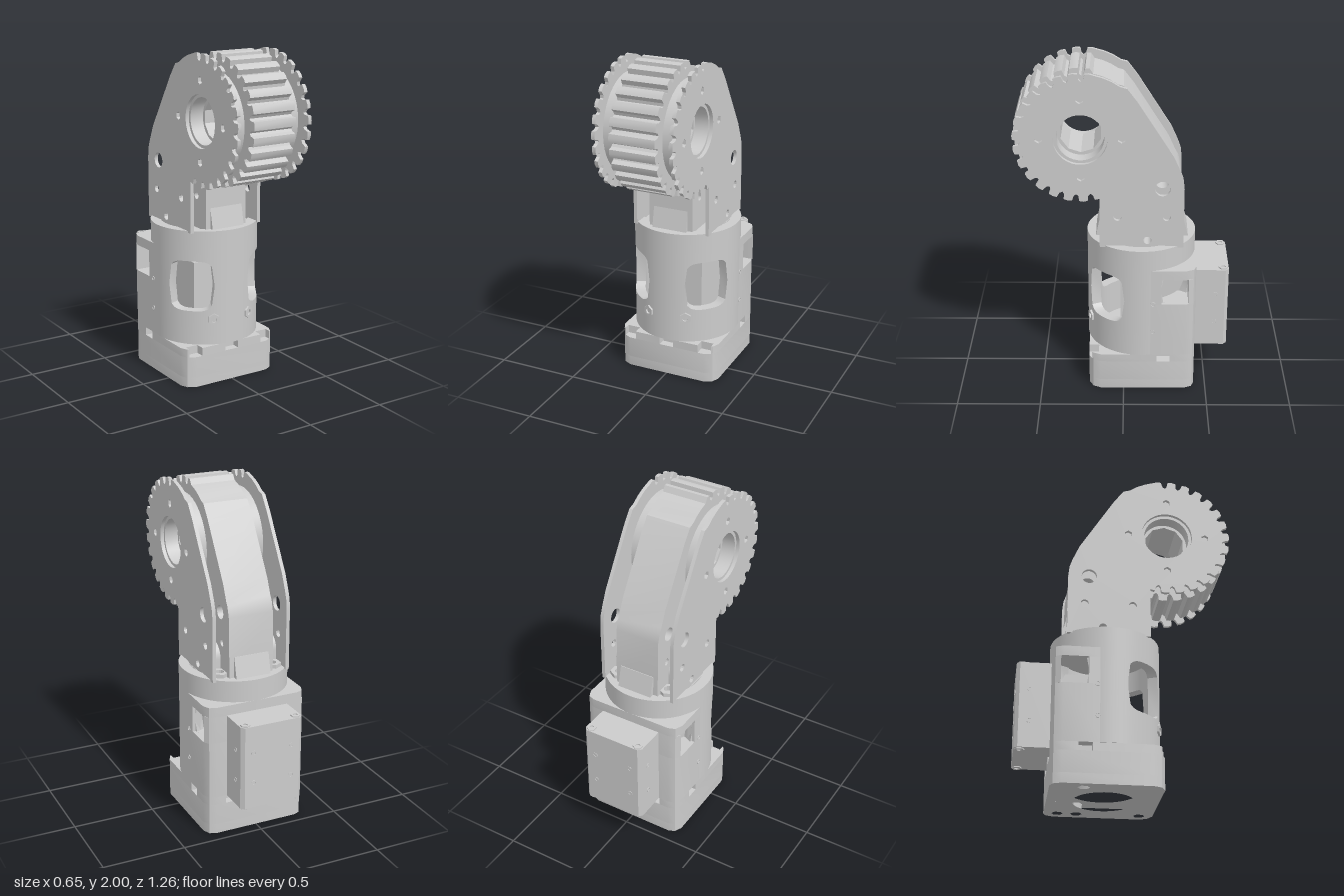
import * as THREE from 'three';
import { toCreasedNormals } from 'three/addons/utils/BufferGeometryUtils.js';

const grey = new THREE.MeshStandardMaterial({ color: 0xcccccc });
const AXIS_Z = -0.105;              // vertical axis of the round housing
const GEAR = { z: 0.245, y: 1.615 }; // centre of the toothed head
const rad = THREE.MathUtils.degToRad;

export function createModel() {
  const model = new THREE.Group();

  function add(parent, name, geometry, x = 0, y = 0, z = 0) {
    const mesh = new THREE.Mesh(geometry, grey);
    mesh.name = name;
    mesh.position.set(x, y, z);
    parent.add(mesh);
    return mesh;
  }
  function group(name) {
    const g = new THREE.Group();
    g.name = name;
    model.add(g);
    return g;
  }

  const ring = (u, v, r, n = 24) => Array.from({ length: n }, (_, i) => {
    const a = ((i + 0.5) / n) * Math.PI * 2;
    return [u + r * Math.cos(a), v + r * Math.sin(a)];
  });
  function extrude(points, holes, depth) {
    const path = (pts, Type) => new Type(pts.map(([u, v]) => new THREE.Vector2(u, v)));
    const shape = path(points, THREE.Shape);
    shape.holes = holes.map((h) => path(h, THREE.Path));
    return toCreasedNormals(new THREE.ExtrudeGeometry(shape, { depth, bevelEnabled: false }), 0.5);
  }
  // Plan outline in (x, z), raised from y0 to y1
  const plan = (points, y0, y1, holes = []) => {
    const flip = (pts) => pts.map(([x, z]) => [x, -z]);
    return extrude(flip(points), holes.map(flip), y1 - y0).rotateX(-Math.PI / 2).translate(0, y0, 0);
  };
  // Side outline in (z, y), spanning x0 to x1
  const side = (points, x0, x1, holes = []) =>
    extrude(points, holes, x1 - x0).rotateY(-Math.PI / 2).translate(x1, 0, 0);

  // ---- Square base: bored plate, with open nut slots along the upper edge
  const base = group('base');
  const right = [[0.26, -0.43], [0.3, -0.415], [0.32, -0.37]];
  const frontRight = [[0.32, 0.14], [0.3, 0.185], [0.25, 0.21]];
  const mirror = (pts) => pts.map(([x, z]) => [-x, z]).reverse();
  const closed = (half) => [...half, ...mirror(half)];
  const boltHoles = [[-0.25, 0.13], [0.25, 0.13], [-0.25, -0.35], [0.25, -0.35],
    [0, 0.14], [0, -0.36], [0.25, -0.24], [-0.25, -0.24]].map(([x, z]) => ring(x, z, 0.034, 6));
  add(base, 'basePlate', plan(closed([...right, ...frontRight]), 0, 0.06, [ring(0, AXIS_Z, 0.18, 40), ...boltHoles]));
  add(base, 'baseBody', plan(closed([...right, ...frontRight]), 0.06, 0.19, [ring(0, AXIS_Z, 0.205, 40)]));
  const slotted = [[0.04, -0.43], [0.04, -0.38], [0.2, -0.38], [0.2, -0.43], ...right,
    [0.32, -0.28], [0.26, -0.28], [0.26, -0.2], [0.32, -0.2], [0.32, 0.14], [0.3, 0.185],
    [0.29, 0.19], [0.29, 0.15], [0.21, 0.15], [0.21, 0.21], [0.045, 0.21], [0.045, 0.16]];
  add(base, 'baseSlottedRim', plan(closed(slotted), 0.19, 0.24, [ring(0, AXIS_Z, 0.205, 40)]));
  add(base, 'baseFloor', new THREE.CylinderGeometry(0.26, 0.26, 0.02, 48), 0, 0.235, AXIS_Z);

  // ---- Round housing: a wall of narrow strips that part around each window
  const windows = [
    { a: 46.5, half: 25.5, y: 0.605, h: 0.155, e: 4 },
    { a: 130.5, half: 19.5, y: 0.6725, h: 0.0825, e: 12 },
  ];
  function opening(deg) {
    for (const w of windows) {
      const t = Math.abs(Math.abs(deg) - w.a) / w.half;
      if (t <= 1) return [w, w.h * Math.pow(1 - Math.pow(t, w.e), 1 / w.e)];
    }
    return [null, 0];
  }
  function housingWall(rIn, rOut, y0, y1, step) {
    const pos = [];
    const at = (deg, r, y) => [r * Math.sin(rad(deg)), y, AXIS_Z + r * Math.cos(rad(deg))];
    const quad = (a, b, c, d) => pos.push(...a, ...b, ...c, ...a, ...c, ...d);
    const block = (d0, d1, low0, low1, high0, high1) => {
      const [a, b, c, d] = [at(d0, rOut, low0), at(d1, rOut, low1), at(d1, rOut, high1), at(d0, rOut, high0)];
      const [e, f, g, h] = [at(d0, rIn, low0), at(d1, rIn, low1), at(d1, rIn, high1), at(d0, rIn, high0)];
      quad(a, b, c, d);
      quad(f, e, h, g);
      quad(d, c, g, h);
      quad(e, f, b, a);
    };
    for (let d = -180; d < 180; d += step) {
      const [w] = opening(d + step / 2);
      if (!w) { block(d, d + step, y0, y0, y1, y1); continue; }
      const h0 = opening(d)[1], h1 = opening(d + step)[1];
      block(d, d + step, y0, y0, w.y - h0, w.y - h1);
      block(d, d + step, w.y + h0, w.y + h1, y1, y1);
    }
    const geo = new THREE.BufferGeometry();
    geo.setAttribute('position', new THREE.Float32BufferAttribute(pos, 3));
    return toCreasedNormals(geo, 0.5);
  }
  const housing = group('housing');
  add(housing, 'housingWall', housingWall(0.265, 0.325, 0.24, 0.945, 3));
  add(housing, 'innerMotor', new THREE.BoxGeometry(0.3, 0.47, 0.42), 0, 0.475, -0.19);
  add(housing, 'innerShaft', new THREE.CylinderGeometry(0.05, 0.05, 0.25, 20), 0, 0.8, AXIS_Z);

  // Square rear corners of the housing, with a cable opening through each side
  const arc = Array.from({ length: 13 }, (_, i) => {
    const a = rad(180 - i * 6.5);
    return [0.3 * Math.sin(a), AXIS_Z + 0.3 * Math.cos(a)];
  });
  const corner = [[0.32, -0.15], ...right.slice().reverse(), [0, -0.43], ...arc];
  for (const s of [1, -1]) {
    const m = (pts) => pts.map(([x, z]) => [s * x, z]);
    add(housing, 'rearCornerLower', plan(m(corner), 0.24, 0.59));
    add(housing, 'rearCornerUpper', plan(m(corner), 0.755, 0.815));
    add(housing, 'openingRearPost', plan(m([[0.32, -0.385], [0.3, -0.415], [0.26, -0.43], [0, -0.43], [0, -0.405], [0.1, -0.385]]), 0.59, 0.755));
    add(housing, 'openingFrontPost', plan(m([[0.32, -0.15], [0.32, -0.225], [0.27, -0.225], [0.29, -0.15]]), 0.59, 0.755));
  }

  // ---- Rear box with chamfered corners
  const rear = group('rearBox');
  add(rear, 'rearBoxBody', plan(closed([[0.175, -0.63], [0.195, -0.61], [0.195, -0.42]]), 0.24, 0.755));

  // Raised collars and hex nuts; direction is 'x', 'y' or 'z'
  function fastener(parent, name, dir, r, hole, n, depth, x, y, z) {
    const g = extrude(ring(0, 0, r, n), [ring(0, 0, hole, 12)], depth).translate(0, 0, -depth / 2);
    if (dir === 'x') g.rotateY(Math.PI / 2);
    if (dir === 'y') g.rotateX(-Math.PI / 2);
    return add(parent, name, g, x, y, z);
  }
  for (const s of [1, -1]) {
    fastener(rear, 'boxTopNut', 'y', 0.03, 0.014, 6, 0.012, s * 0.16, 0.756, -0.598);
    fastener(rear, 'boxBottomNut', 'y', 0.03, 0.014, 6, 0.012, s * 0.16, 0.239, -0.598);
    const nut = fastener(housing, 'frontNut', 'z', 0.036, 0.018, 6, 0.03, s * 0.12, 0.4, 0.193);
    nut.rotation.y = s * 0.38;
    for (const y of [0.4, 0.59]) {
      fastener(rear, 'boxSideHole', 'x', 0.015, 0.011, 12, 0.006, s * 0.195, y, -0.55);
      fastener(rear, 'boxBackHole', 'z', 0.015, 0.011, 12, 0.006, s * 0.12, y, -0.63);
      fastener(housing, 'housingSideHole', 'x', 0.015, 0.011, 12, 0.008, s * 0.32, y, -0.175);
    }
  }

  // ---- Turntable with a notch on each side
  const turntable = group('turntable');
  const rim = [];
  for (let d = 180; d >= 0; d -= 6) {
    const x = 0.305 * Math.sin(rad(d)), z = 0.305 * Math.cos(rad(d));
    if (Math.abs(z) > 0.105) rim.push([x, AXIS_Z + z]);
    else if (d === 90) rim.push([0.285, -0.205], [0.25, -0.205], [0.25, 0], [0.285, 0]);
  }
  add(turntable, 'turntableDisc', plan(closed(rim.slice(1, -1)), 0.89, 0.935));
  for (const s of [1, -1]) {
    fastener(turntable, 'turntableNut', 'y', 0.055, 0.026, 6, 0.035, s * 0.17, 0.95, -0.28);
  }

  // ---- Arm: outline with teeth around the front of the head
  function armOutline(inset) {
    const teeth = 15, from = -102, pitch = 204 / teeth, pts = [[0.14, 0.935], [0.14, 1.247]];
    const polar = (deg, r) => pts.push([GEAR.z + r * Math.cos(rad(deg)), GEAR.y + r * Math.sin(rad(deg))]);
    for (let i = 0; i < teeth; i++) {
      const d = from + i * pitch;
      polar(d, 0.383);
      polar(d + pitch * 0.06, 0.352);
      polar(d + pitch * 0.22, 0.34);
      polar(d + pitch * 0.38, 0.352);
      polar(d + pitch * 0.46, 0.383);
      polar(d + pitch * 0.72, 0.387);
    }
    for (const d of [102, 110, 118, 126]) polar(d, 0.384 - inset);
    const k = inset * 0.8;
    pts.push([-0.02 + k, 1.915 - k], [-0.08 + k, 1.835 - k], [-0.285 + k, 1.51 - k], [-0.325 + k, 1.42 - k],
      [-0.343 + k, 1.37], [-0.35 + k * 0.5, 1.31], [-0.35, 0.935]);
    return pts;
  }
  const linkHoles = (r) => [ring(-0.225, 1.31, r * 1.9), ring(0.035, 1.13, r, 12),
    ring(-0.25, 1.13, r, 12), ring(-0.14, 0.98, r, 12)];
  const headHoles = [[0.235, 0], [-0.235, 0], [0, 0.235], [0, -0.235]]
    .map(([z, y]) => ring(GEAR.z + z, GEAR.y + y, 0.024, 6));
  const arm = group('arm');
  add(arm, 'armCore', side(armOutline(0.025), -0.14, 0.14, [ring(GEAR.z, GEAR.y, 0.122, 10), ...linkHoles(0.022)]));
  add(arm, 'armFoot', side([[0.168, 0.935], [0.14, 1.07], [-0.35, 1.07], [-0.385, 0.935]], -0.11, 0.11,
    [ring(-0.14, 0.98, 0.022, 12)]));
  const dome = Array.from({ length: 17 }, (_, i) => [-0.14 + 0.09 * Math.cos(i * Math.PI / 16), 1.02 + 0.09 * Math.sin(i * Math.PI / 16)]);
  for (const s of [1, -1]) {
    const span = (a, b) => (s > 0 ? [a, b] : [-b, -a]);
    add(arm, 'sidePlate', side(armOutline(0), ...span(0.224, 0.246),
      [ring(GEAR.z, GEAR.y, 0.155, 32), ...linkHoles(0.024), ...headHoles]));
    add(arm, 'headSpacer', side(ring(GEAR.z, GEAR.y, 0.29, 48), ...span(0.14, 0.224), [ring(GEAR.z, GEAR.y, 0.137, 32)]));
    add(arm, 'footSpacer', side([[-0.23, 0.935], [-0.05, 0.935], ...dome], ...span(0.14, 0.224),
      [ring(-0.14, 0.98, 0.024, 12)]));
  }
  return model;
}
